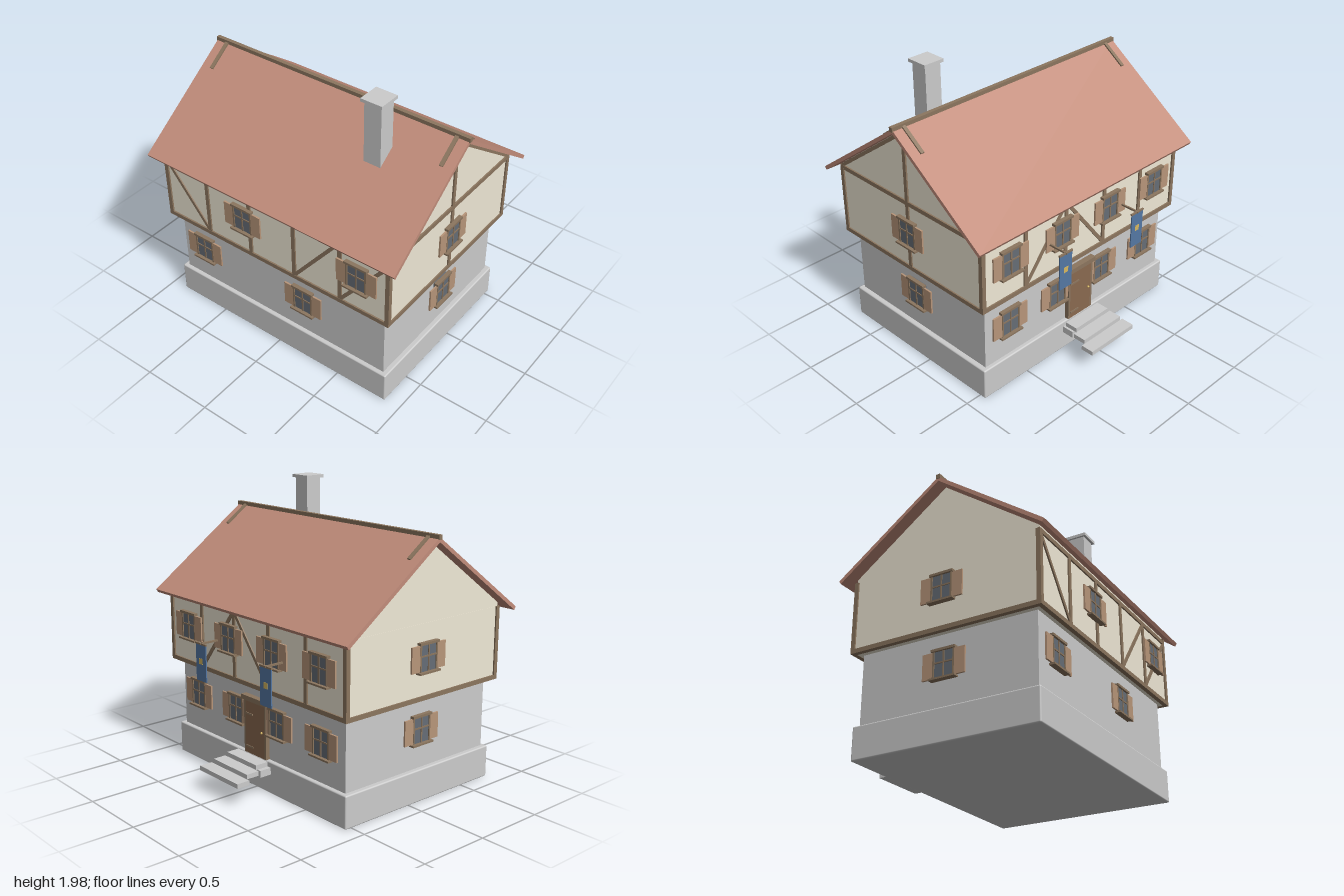
import * as THREE from 'three';
import { RoundedBoxGeometry } from 'three/addons/geometries/RoundedBoxGeometry.js';

const mat = (color, extra = {}) => new THREE.MeshStandardMaterial({ color, ...extra });
const M = {
  stone: mat(0xcccccc), plaster: mat(0xf0e9d6), timber: mat(0x8c765f), roof: mat(0xc28d7b),
  shutter: mat(0xb8967a), glass: mat(0x666d76), door: mat(0x8a6a50), sign: mat(0x5578a4), gold: mat(0xd8b860),
};

function add(parent, name, geometry, material) {
  const m = new THREE.Mesh(geometry, material);
  m.name = name;
  parent.add(m);
  return m;
}

// Box given by its lower and upper limits
function box(parent, name, material, x0, x1, y0, y1, z0, z1) {
  const m = add(parent, name, new THREE.BoxGeometry(x1 - x0, y1 - y0, z1 - z0), material);
  m.position.set((x0 + x1) / 2, (y0 + y1) / 2, (z0 + z1) / 2);
  return m;
}

// Straight timber between two points on a wall (wall-local x, y)
function beam(wall, name, xa, ya, xb, yb, w = 0.028, z0 = -0.012, z1 = 0) {
  const len = Math.hypot(xb - xa, yb - ya);
  const m = add(wall, name, new THREE.BoxGeometry(len, w, z1 - z0), M.timber);
  m.position.set((xa + xb) / 2, (ya + yb) / 2, (z0 + z1) / 2);
  m.rotation.z = Math.atan2(yb - ya, xb - xa);
}

// Profile in (depth, height) extruded along the house length
function alongX(parent, name, pts, x0, x1, material) {
  const shape = new THREE.Shape(pts.map(p => new THREE.Vector2(...p)));
  const g = new THREE.ExtrudeGeometry(shape, { depth: x1 - x0, bevelEnabled: false });
  g.rotateY(Math.PI / 2);
  g.translate(x0, 0, 0);
  return add(parent, name, g, material);
}

// Wall frame: local z = 0 is the outer face, local x runs to the viewer's right
function wallGroup(house, name, angle, dist) {
  const g = new THREE.Group();
  g.name = name;
  g.rotation.y = angle;
  g.position.set(Math.sin(angle) * dist, 0, Math.cos(angle) * dist);
  house.add(g);
  return g;
}

// Shuttered window, y is the middle of the glass
function window4(wall, x, y) {
  const g = new THREE.Group();
  g.name = 'window';
  g.position.set(x, y, 0);
  wall.add(g);
  box(g, 'glass', M.glass, -0.07, 0.07, -0.088, 0.09, -0.02, 0.01);
  for (const s of [-1, 1]) {
    box(g, 'windowFrame', M.timber, s * 0.071 - 0.006, s * 0.071 + 0.006, -0.09, 0.09, -0.005, 0.016);
    box(g, 'shutter', M.shutter, s * 0.113 - 0.037, s * 0.113 + 0.037, -0.085, 0.085, 0.002, 0.014);
  }
  box(g, 'mullion', M.timber, -0.005, 0.005, -0.09, 0.09, 0, 0.015);
  box(g, 'glazingBar', M.timber, -0.07, 0.07, 0.007, 0.017, 0, 0.015);
  box(g, 'lintel', M.timber, -0.085, 0.085, 0.086, 0.102, -0.005, 0.024);
  box(g, 'sill', M.timber, -0.093, 0.093, -0.1, -0.088, -0.005, 0.034);
}

export function createModel() {
  const root = new THREE.Group();
  root.name = 'timberFramedHouse';
  const house = new THREE.Group();
  house.name = 'house';
  house.position.z = 0.102;
  root.add(house);

  // Masonry base, ground floor and plastered upper floor
  const plinth = add(house, 'plinth', new RoundedBoxGeometry(1.775, 0.222, 1.305, 2, 0.01), M.stone);
  plinth.position.y = 0.111;
  box(house, 'groundFloor', M.stone, -0.853, 0.853, 0.2, 0.705, -0.624, 0.624);
  box(house, 'upperFloor', M.plaster, -0.908, 0.908, 0.702, 1.2, -0.671, 0.671);
  alongX(house, 'attic', [[-0.671, 1.2], [0.671, 1.2], [0.671, 1.225], [0, 1.712], [-0.671, 1.225]], -0.906, 0.906, M.plaster);

  // Roof slabs, ridge beam and ridge braces
  const slope = 0.542 / 0.75;
  for (const s of [-1, 1]) {
    alongX(house, 'roofSlope', [[0, 1.742], [s * 0.75, 1.2], [s * 0.737, 1.178], [0, 1.712]], -0.995, 0.992, M.roof);
    for (const x of [-0.91, 0.91]) {
      const brace = add(house, 'ridgeBrace', new THREE.BoxGeometry(0.026, 0.014, 0.215), M.timber);
      brace.position.set(x, 1.746 - 0.09 * slope, s * 0.09);
      brace.rotation.x = s * Math.atan(slope);
    }
  }
  box(house, 'ridgeBeam', M.timber, -1, 1, 1.727, 1.758, -0.014, 0.014);

  // Chimney
  box(house, 'chimney', M.stone, 0.443, 0.567, 1.4, 1.955, 0.18, 0.302);
  box(house, 'chimneyCap', M.stone, 0.427, 0.583, 1.953, 1.975, 0.164, 0.321);

  // Corner posts and sill beams all round
  for (const sx of [-1, 1]) for (const sz of [-1, 1])
    box(house, 'cornerPost', M.timber, sx * 0.903 - 0.015, sx * 0.903 + 0.015, 0.7, 1.2, sz * 0.667 - 0.015, sz * 0.667 + 0.015);

  const upper = {}, lower = {};
  const sides = { front: [0, 0.681, 0.635], back: [Math.PI, 0.681, 0.635], left: [Math.PI / 2, 0.917, 0.872], right: [-Math.PI / 2, 0.917, 0.872] };
  for (const [key, [angle, du, dl]] of Object.entries(sides)) {
    upper[key] = wallGroup(house, key + 'UpperWall', angle, du);
    lower[key] = wallGroup(house, key + 'LowerWall', angle, dl);
    const half = du < 0.8 ? 0.918 : 0.682;
    beam(upper[key], 'sillBeam', -half, 0.715, half, 0.715, 0.03, -0.03, 0.001);
  }

  // Long walls: posts in five bays, top plates, braces
  const bay = 0.363;
  for (const key of ['front', 'back']) {
    beam(upper[key], 'topPlate', -0.918, 1.187, 0.918, 1.187, 0.03);
    for (const k of [-1.5, -0.5, 0.5, 1.5]) beam(upper[key], 'post', k * bay, 0.72, k * bay, 1.18);
  }
  const braces = { front: [[-2.5, -1.5], [1.5, 0.5], [2.5, 1.5]], back: [[-0.5, -1.5], [-0.5, 0.5]] };
  for (const [key, list] of Object.entries(braces))
    for (const [top, bottom] of list)
      beam(upper[key], 'brace', top * bay, 1.18, bottom * bay, 0.725, 0.024, -0.012, -0.001);

  // Timbered gable
  const gable = upper.left;
  beam(gable, 'tieBeam', -0.682, 1.2, 0.682, 1.2, 0.03);
  beam(gable, 'gablePost', 0, 0.72, 0, 1.7);
  for (const s of [-1, 1]) beam(gable, 'rafter', s * 0.665, 1.212, 0, 1.694, 0.024, -0.012, -0.001);

  // Windows
  for (const x of [-0.23, 0.68]) window4(upper.front, x, 0.983);
  for (const x of [-0.65, 0.217]) window4(lower.front, x, 0.495);
  for (const k of [-1.5, -0.5, 0.5, 1.5]) {
    window4(upper.back, k * 0.456, 0.983);
    window4(lower.back, k * 0.433, 0.495);
  }
  for (const key of ['left', 'right']) {
    window4(upper[key], 0, 0.983);
    window4(lower[key], 0, 0.495);
  }

  // Back door with cap, hinges and knob
  const door = new THREE.Group();
  door.name = 'door';
  lower.back.add(door);
  box(door, 'doorLeaf', M.door, -0.1, 0.1, 0.222, 0.595, -0.015, 0.02);
  box(door, 'doorCap', M.timber, -0.13, 0.13, 0.592, 0.625, -0.012, 0.032);
  for (const s of [-1, 1]) box(door, 'doorJamb', M.timber, s * 0.107 - 0.008, s * 0.107 + 0.008, 0.222, 0.595, -0.012, 0.02);
  for (const y of [0.27, 0.5]) box(door, 'hinge', M.timber, -0.1, -0.02, y - 0.006, y + 0.006, 0.018, 0.025);
  const knob = add(door, 'doorKnob', new THREE.SphereGeometry(0.008, 10, 8), M.gold);
  knob.position.set(0.075, 0.4, 0.024);

  // Steps down from the door
  box(root, 'stepSupport', M.stone, -0.16, 0.16, 0.136, 0.183, -0.637, -0.545);
  for (let i = 0; i < 3; i++) {
    const w = 0.158 + i * 0.024, z = -0.574 - i * 0.094, y = 0.23 - i * 0.0315;
    box(root, 'step', M.stone, -w, w, y - 0.0315, y, z - 0.094, z);
  }

  // Hanging signs on brackets
  for (const x of [-0.345, 0.345]) {
    const sign = new THREE.Group();
    sign.name = 'hangingSign';
    sign.position.set(x, 0, -0.725);
    root.add(sign);
    box(sign, 'bracket', M.timber, -0.006, 0.006, 0.945, 0.957, -0.01, 0.15);
    box(sign, 'crossBar', M.timber, -0.06, 0.06, 0.944, 0.956, -0.006, 0.006);
    box(sign, 'signBoard', M.sign, -0.055, 0.055, 0.693, 0.944, -0.004, 0.004);
    box(sign, 'signPlate', M.gold, -0.019, 0.019, 0.81, 0.85, -0.006, 0.006);
  }
  return root;
}
